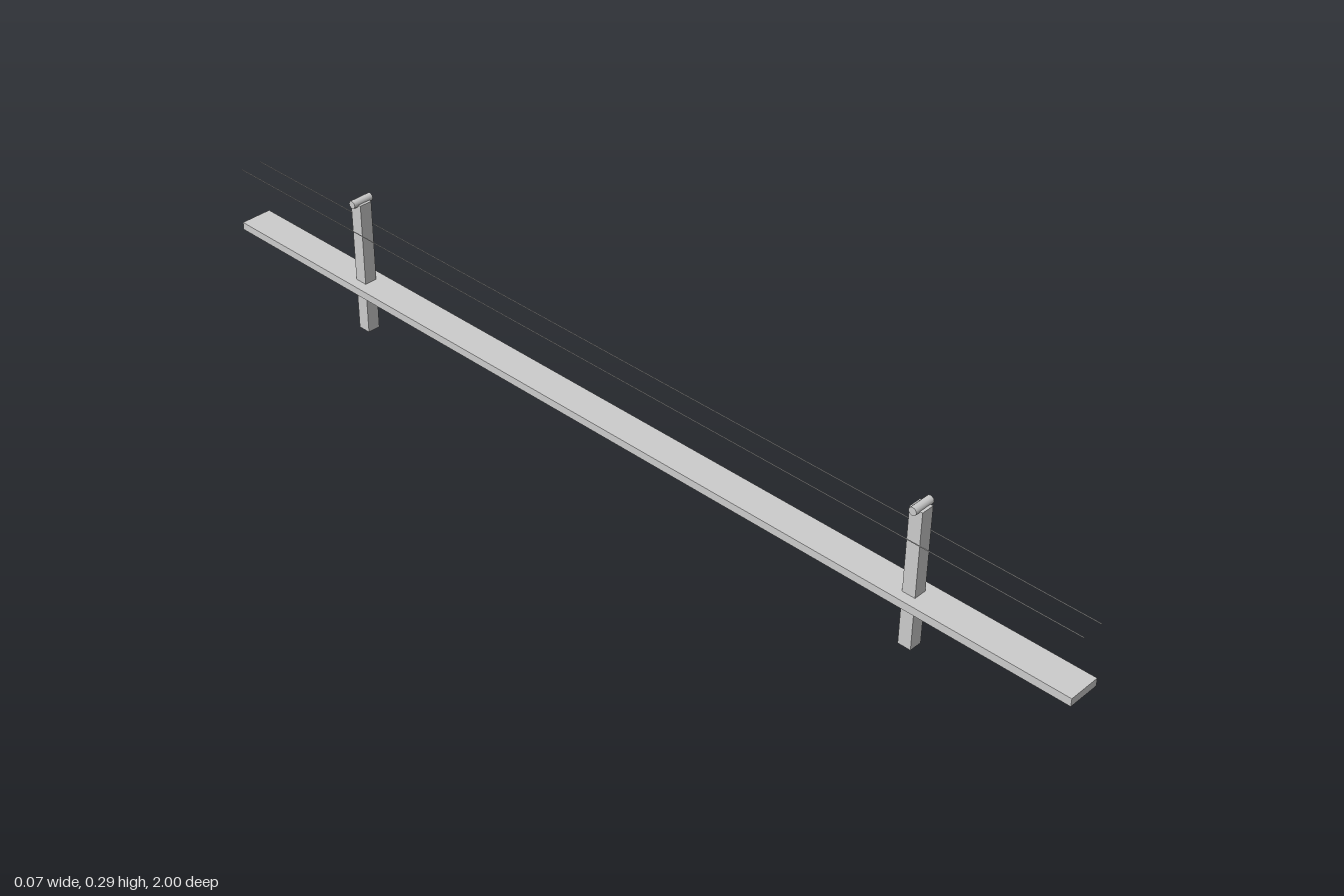
import * as THREE from 'three';

export function createModel() {
  const model = new THREE.Group();
  model.name = 'bridge';
  const grey = new THREE.MeshStandardMaterial({ color: 0xcccccc });

  const add = (parent, name, geometry, x, y, z) => {
    const mesh = new THREE.Mesh(geometry, grey);
    mesh.name = name;
    mesh.position.set(x, y, z);
    parent.add(mesh);
  };

  // Long flat deck
  add(model, 'deck', new THREE.BoxGeometry(0.066, 0.016, 2), 0, 0.101, 0);

  // Two square towers, each with a round crossbar set into its top
  const column = new THREE.BoxGeometry(0.0265, 0.281, 0.0265);
  const crossbar = new THREE.CylinderGeometry(0.008, 0.008, 0.0445, 12).rotateZ(Math.PI / 2);
  for (const z of [-0.667, 0.667]) {
    const tower = new THREE.Group();
    tower.name = z > 0 ? 'frontTower' : 'backTower';
    tower.position.z = z;
    add(tower, 'column', column, 0, 0.1405, 0);
    add(tower, 'crossbar', crossbar, 0, 0.282, 0);
    model.add(tower);
  }

  // Thin straight cables above the deck
  const cable = new THREE.CylinderGeometry(0.0009, 0.0009, 2, 8).rotateX(Math.PI / 2);
  for (const side of [-1, 1]) {
    add(model, side > 0 ? 'leftCable' : 'rightCable', cable, side * 0.0223, 0.224, 0);
  }

  return model;
}
